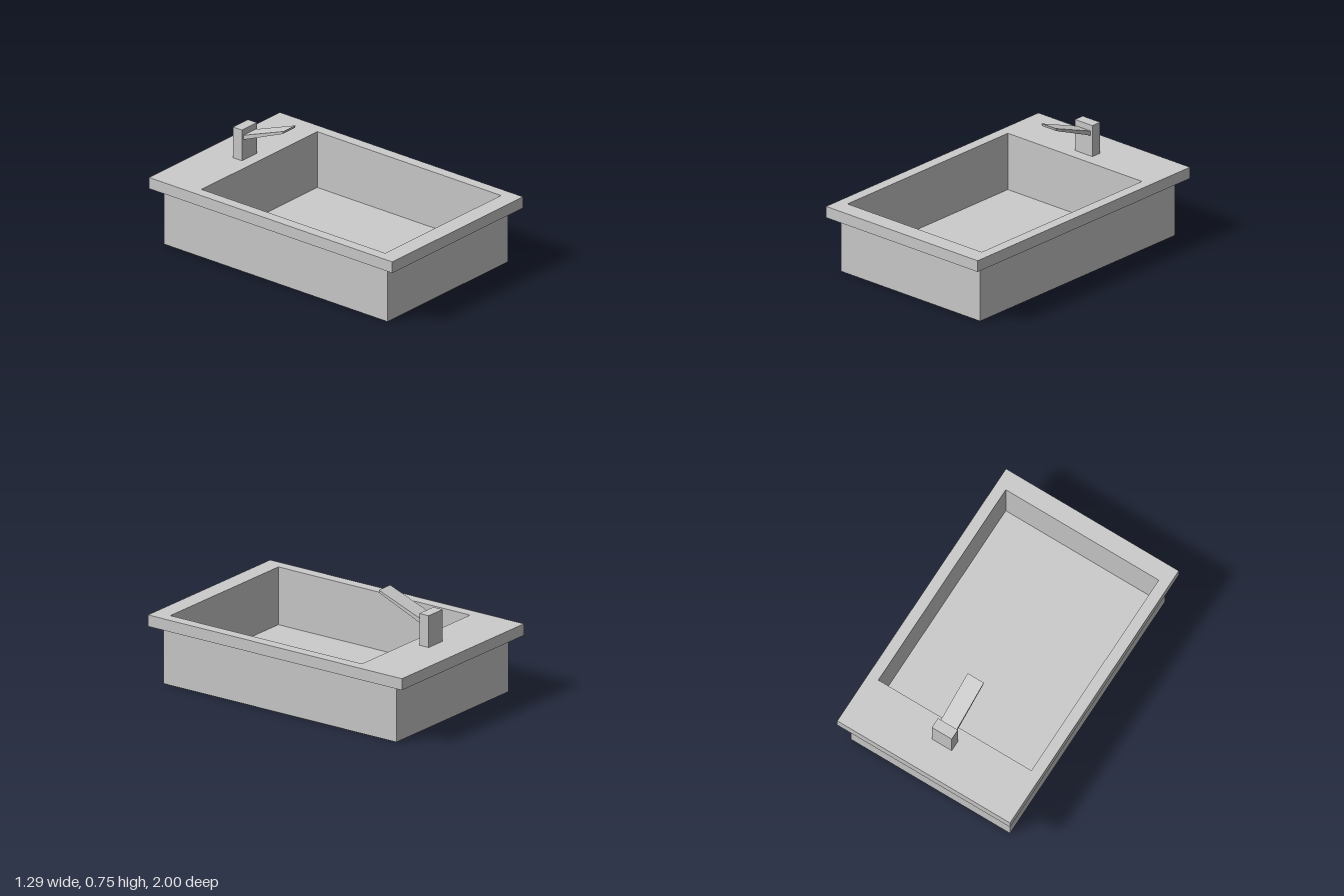
import * as THREE from 'three';

const material = new THREE.MeshStandardMaterial({ color: 0xcccccc, flatShading: true });

// Basin opening and main heights
const opening = { x: 0.57, back: -0.63, front: 0.88 };
const floorY = 0.07, rimBottom = 0.38, rimTop = 0.457;

function addMesh(group, name, geometry) {
  const mesh = new THREE.Mesh(geometry, material);
  mesh.name = name;
  group.add(mesh);
  return mesh;
}

function box(x, y0, y1, z0, z1) {
  return new THREE.BoxGeometry(2 * x, y1 - y0, z1 - z0)
    .translate(0, (y0 + y1) / 2, (z0 + z1) / 2);
}

// Closed rectangle in plan; shape y is -z once laid flat
function rectangle(Type, x, z0, z1) {
  return new Type([[-x, -z1], [x, -z1], [x, -z0], [-x, -z0]].map(p => new THREE.Vector2(...p)));
}

// Rectangular frame around the opening, from height y0 to y1
function frame(x, z, y0, y1) {
  const shape = rectangle(THREE.Shape, x, -z, z);
  shape.holes.push(rectangle(THREE.Path, opening.x, opening.back, opening.front));
  return new THREE.ExtrudeGeometry(shape, { depth: y1 - y0, bevelEnabled: false })
    .rotateX(-Math.PI / 2).translate(0, y0, 0);
}

export function createModel() {
  const sink = new THREE.Group();
  sink.name = 'sink';

  // Basin: floor slab, walls and overhanging rim
  addMesh(sink, 'basinFloor', box(0.592, 0, floorY, -0.918, 0.918));
  addMesh(sink, 'basinWalls', frame(0.592, 0.918, floorY, rimBottom));
  addMesh(sink, 'rim', frame(0.644, 1, rimBottom, rimTop));

  // Faucet: upright post with a flat spout rising towards the front
  const faucet = new THREE.Group();
  faucet.name = 'faucet';
  addMesh(faucet, 'post', box(0.074, rimTop, 0.67, -0.785, -0.712));
  const profile = [[-0.712, 0.598], [-0.388, 0.733], [-0.382, 0.752], [-0.712, 0.629]];
  const spout = new THREE.ExtrudeGeometry(
    new THREE.Shape(profile.map(p => new THREE.Vector2(...p))),
    { depth: 0.12, bevelEnabled: false }
  ).translate(0, 0, -0.06).rotateY(-Math.PI / 2);
  addMesh(faucet, 'spout', spout);
  sink.add(faucet);

  return sink;
}
